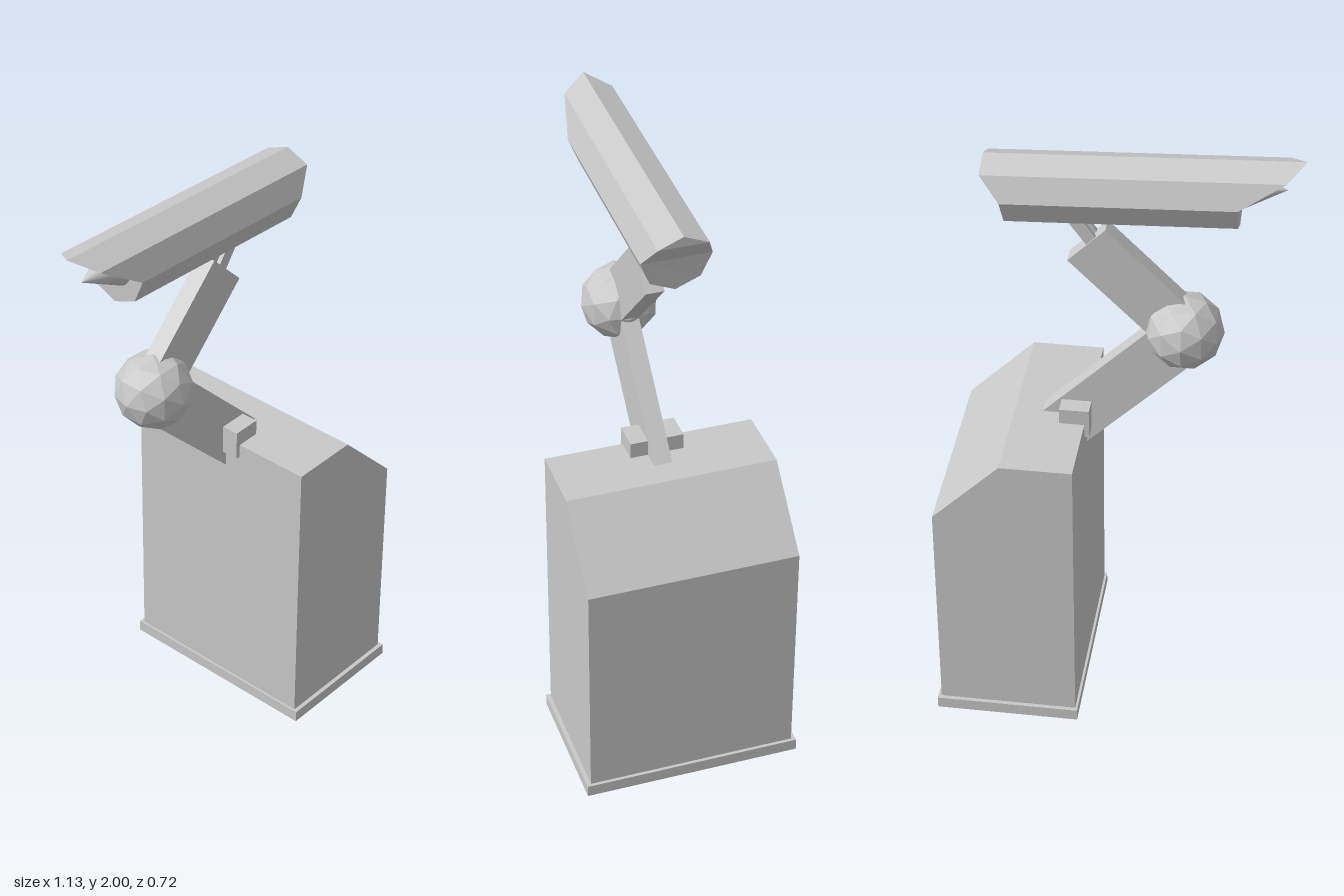
import * as THREE from 'three';

const grey = new THREE.MeshStandardMaterial({ color: 0xc8c8c8 });
grey.name = 'light grey';

function part(name, geometry, x = 0, y = 0, z = 0, tilt = 0) {
  const mesh = new THREE.Mesh(geometry, grey);
  mesh.name = name;
  mesh.position.set(x, y, z);
  mesh.rotation.z = tilt;
  return mesh;
}

// Flat bar running between two points of the centre plane
function bar(name, [x0, y0], [x1, y1], width, depth, z = 0) {
  const length = Math.hypot(x1 - x0, y1 - y0);
  return part(name, new THREE.BoxGeometry(length, width, depth),
    (x0 + x1) / 2, (y0 + y1) / 2, z, Math.atan2(y1 - y0, x1 - x0));
}

// Slightly drooping octagonal prism with a raked hood at both ends
function headGeometry() {
  const r = 0.112, slope = -0.0464, centreY = 1.863;
  const leftX = [-0.565, -0.51, -0.37, -0.37, -0.37]; // ridge down to keel
  const rightX = [0.414, 0.414, 0.35, 0.342, 0.342];
  const loop = (xs) => Array.from({ length: 8 }, (_, k) => {
    const a = k * Math.PI / 4, x = xs[k <= 4 ? k : 8 - k];
    return [x, centreY + slope * x + r * Math.cos(a), r * Math.sin(a)];
  });
  const L = loop(leftX), R = loop(rightX), positions = [];
  const face = (pts) => {
    for (let i = 1; i < pts.length - 1; i++) positions.push(...pts[0], ...pts[i], ...pts[i + 1]);
  };
  for (let k = 0; k < 8; k++) {
    const n = (k + 1) % 8;
    face([L[k], L[n], R[n], R[k]]);
  }
  // End caps: peak, raked band and upright lower face
  for (const cap of [[7, 0, 1], [6, 7, 1, 2], [2, 3, 4, 5, 6]]) {
    face(cap.map((i) => R[i]));
    face(cap.map((i) => L[i]).reverse());
  }
  const g = new THREE.BufferGeometry();
  g.setAttribute('position', new THREE.Float32BufferAttribute(positions, 3));
  g.computeVertexNormals();
  return g;
}

export function createModel() {
  const model = new THREE.Group();
  model.name = 'cameraOnPedestal';

  // Pedestal with a chamfered top edge on a thin plinth
  model.add(part('plinth', new THREE.BoxGeometry(0.472, 0.04, 0.72), 0.328, 0.02, 0));
  const profile = new THREE.Shape([
    [0.1, 0.04], [0.553, 0.04], [0.553, 0.807], [0.333, 1.027], [0.1, 1.027],
  ].map(([x, y]) => new THREE.Vector2(x, y)));
  const body = new THREE.ExtrudeGeometry(profile, { depth: 0.692, bevelEnabled: false });
  body.translate(0, 0, -0.346);
  model.add(part('pedestal', body));

  // Brackets on both sides of the arm foot
  for (const s of [-1, 1]) {
    model.add(part('bracket', new THREE.BoxGeometry(0.096, 0.1, 0.058), 0.133, 1.03, s * 0.059));
  }

  // Folded arm with a faceted elbow ball
  model.add(bar('lowerArm', [-0.21, 1.355], [0.19, 0.955], 0.177, 0.06));
  model.add(bar('upperArm', [-0.21, 1.363], [0.0975, 1.67], 0.168, 0.06));
  const ball = new THREE.IcosahedronGeometry(0.126, 1);
  ball.computeVertexNormals();
  model.add(part('elbow', ball, -0.207, 1.366, 0));

  // Twin prongs carrying the head
  for (const s of [-1, 1]) {
    model.add(bar('prong', [0.06, 1.65], [0.15, 1.775], 0.04, 0.014, s * 0.018));
  }

  // Camera head and its pointed lens
  model.add(part('cameraHead', headGeometry()));
  model.add(part('lens', new THREE.ConeGeometry(0.066, 0.145, 32), -0.4375, 1.8965, 0, 1.524));
  return model;
}
